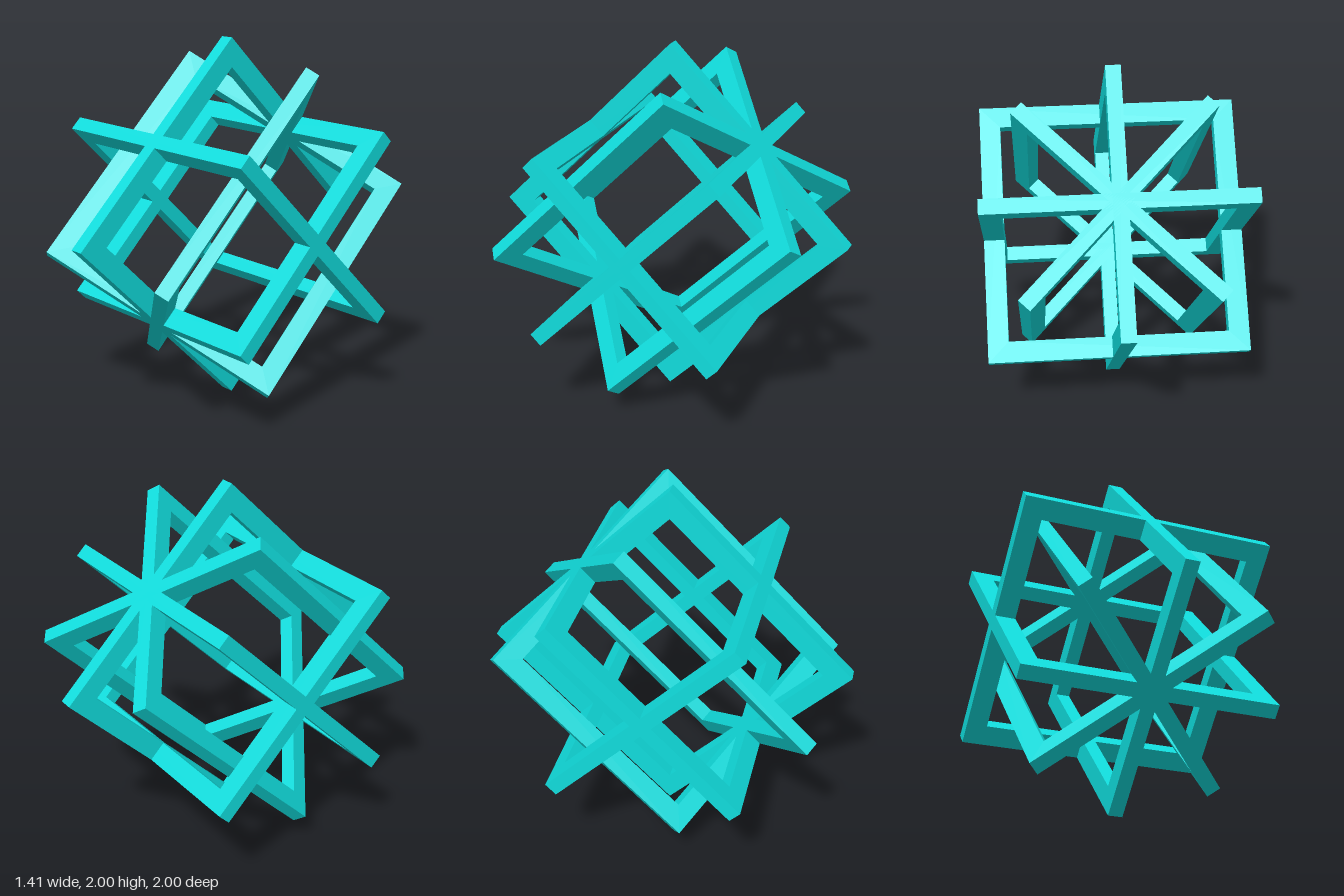
import * as THREE from 'three';

const HALF = Math.SQRT1_2; // half the outer side of each square frame
const BAR = 0.112;         // bar width within the frame plane
const DEPTH = 0.08;        // frame thickness

// Flat square ring, centred on the origin and facing z
function frameGeometry() {
  const square = (Path, h) => new Path([[-h, -h], [h, -h], [h, h], [-h, h]].map(([x, y]) => new THREE.Vector2(x, y)));
  const shape = square(THREE.Shape, HALF);
  shape.holes.push(square(THREE.Path, HALF - BAR));
  return new THREE.ExtrudeGeometry(shape, { depth: DEPTH, bevelEnabled: false }).translate(0, 0, -DEPTH / 2);
}

export function createModel() {
  const model = new THREE.Group();
  model.name = 'interlockedFrames';
  const material = new THREE.MeshStandardMaterial({ color: 0x10dcdc, flatShading: true });
  const geometry = frameGeometry();

  // The whole cage is tipped onto one edge
  const cage = new THREE.Group();
  cage.name = 'cage';
  cage.position.y = 1;
  cage.rotation.x = -Math.PI / 4;
  model.add(cage);

  const addFrame = (name, rx, ry) => {
    const frame = new THREE.Mesh(geometry, material);
    frame.name = name;
    frame.rotation.set(rx, ry, 0);
    cage.add(frame);
  };

  // Four frames fanned around the cage axis, crossing in an eight-armed star at each end
  for (let i = 0; i < 4; i++) addFrame(`axialFrame${i + 1}`, 0, i * Math.PI / 4);

  // One frame across the middle
  addFrame('equatorFrame', Math.PI / 2, 0);

  return model;
}
